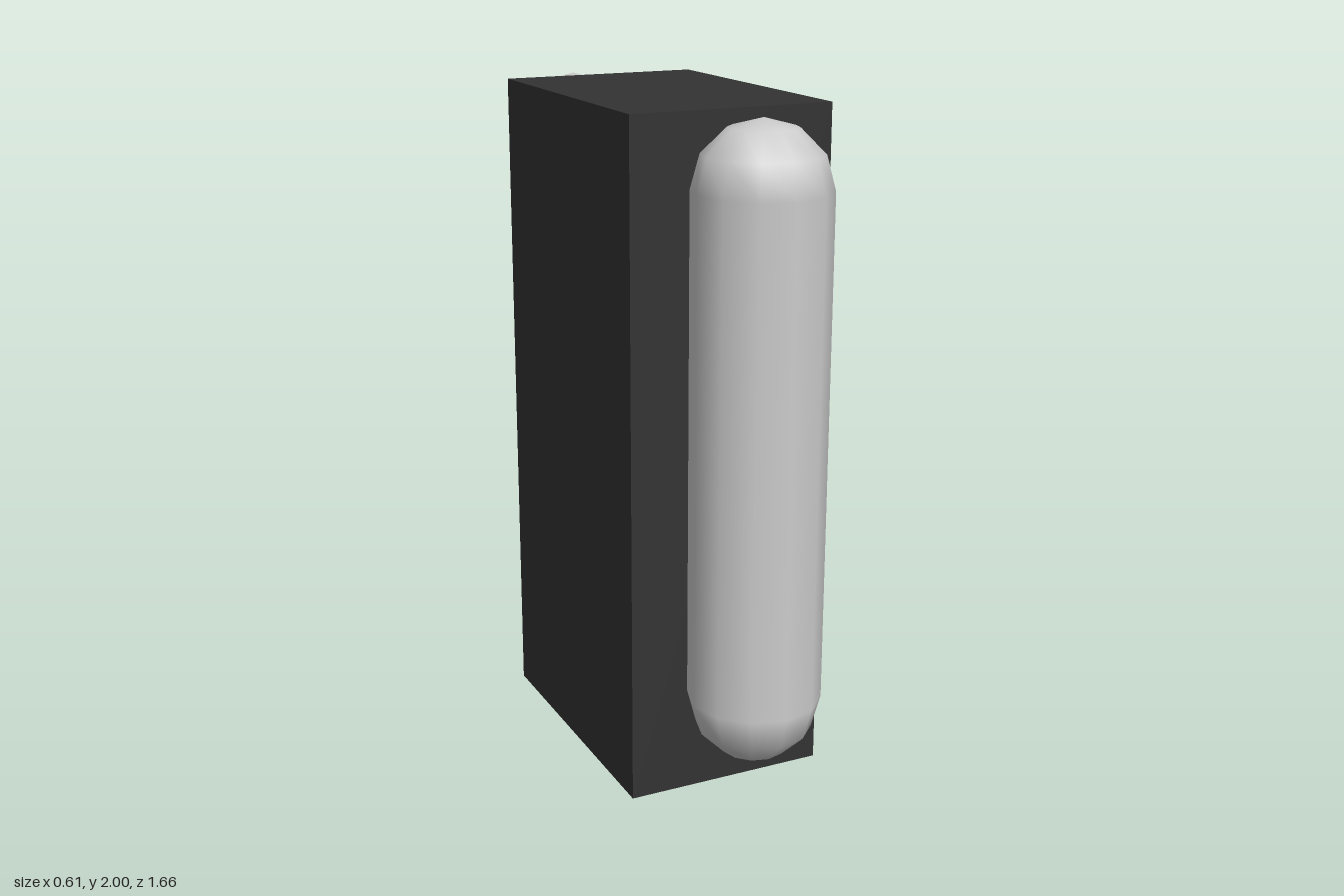
import * as THREE from 'three';

export function createModel() {
  const model = new THREE.Group();
  const grey = new THREE.MeshStandardMaterial({ color: 0xcccccc });
  const dark = new THREE.MeshStandardMaterial({ color: 0x333333 });

  // Dark upright block
  const block = new THREE.Mesh(new THREE.BoxGeometry(0.61, 2, 0.9), dark);
  block.name = 'block';
  block.position.set(0, 1, -0.006);
  model.add(block);

  // Round-ended pillars, one against the front and one against the back
  const capsule = new THREE.CapsuleGeometry(0.19, 1.44, 3, 12);
  const addPillar = (name, y, z) => {
    const pillar = new THREE.Mesh(capsule, grey);
    pillar.name = name;
    pillar.position.set(-0.013, y, z);
    model.add(pillar);
  };
  addPillar('frontPillar', 1.09, 0.638);
  addPillar('backPillar', 1.077, -0.642);

  return model;
}
